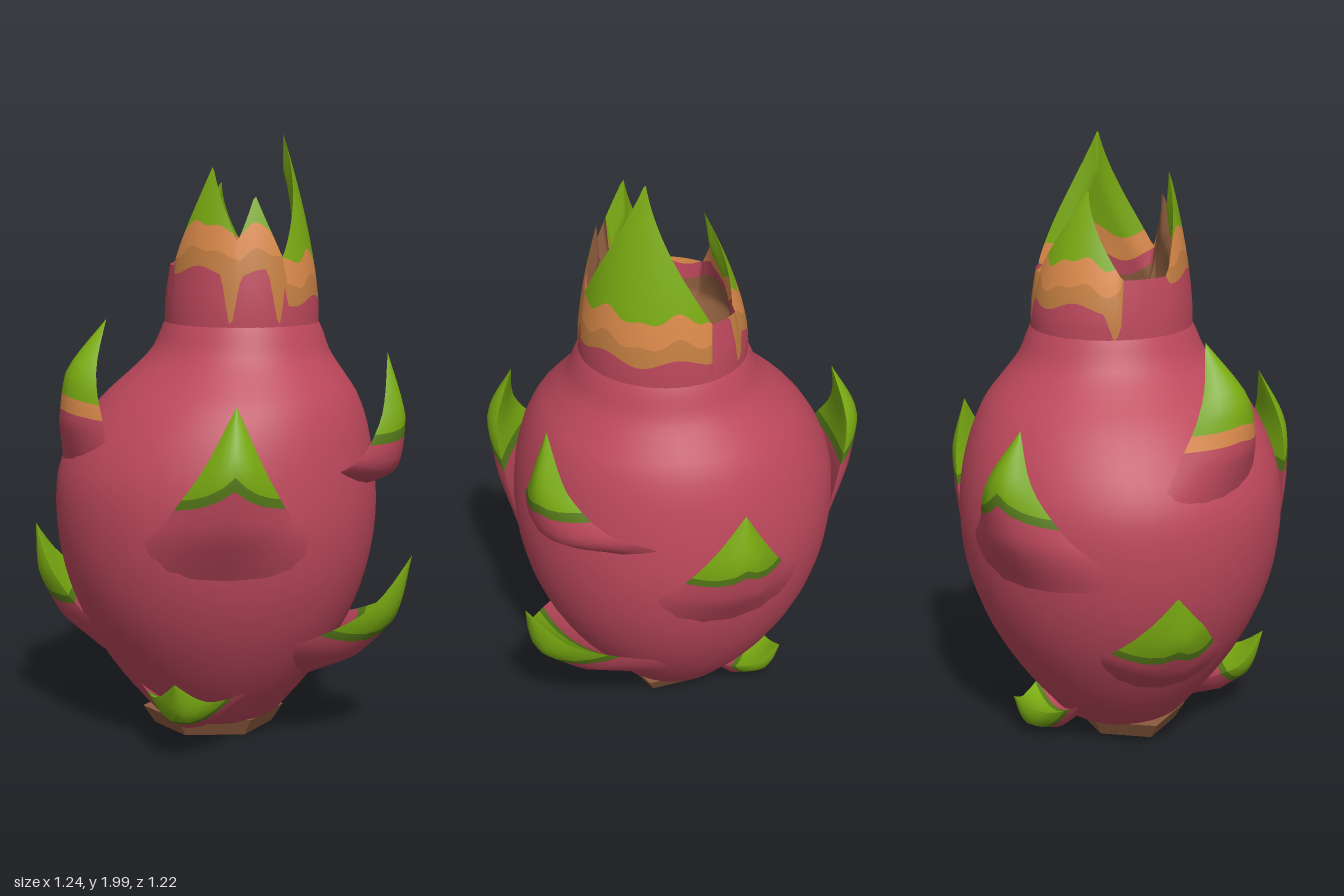
import * as THREE from 'three';
import { toCreasedNormals } from 'three/addons/utils/BufferGeometryUtils.js';

const mat = (name, color) => {
  const m = new THREE.MeshStandardMaterial({ color, side: THREE.DoubleSide });
  m.name = name;
  return m;
};
const TAU = Math.PI * 2;

// Closed sheet swept from stacked rings. Each band is [material, from(u), to(u), steps].
// With dir = -1 the faces look inward.
function sheet(name, point, segments, bands, { crease = 0, dir = 1 } = {}) {
  const pos = [], index = [], mats = [], geo = new THREE.BufferGeometry();
  let row = 0;
  const addRow = (sAt) => {
    for (let i = 0; i < segments; i++) {
      const u = (dir * i / segments) * TAU;
      pos.push(...point(u, sAt(u)).toArray());
    }
  };
  addRow(bands[0][1]);
  for (const [material, from, to, steps] of bands) {
    const start = index.length;
    for (let k = 1; k <= steps; k++, row++) {
      addRow((u) => THREE.MathUtils.lerp(from(u), to(u), k / steps));
      for (let i = 0; i < segments; i++) {
        const a = row * segments + i, b = row * segments + (i + 1) % segments;
        const c = b + segments, d = a + segments;
        index.push(a, b, c, a, c, d);
      }
    }
    geo.addGroup(start, index.length - start, mats.length);
    mats.push(material);
  }
  geo.setAttribute('position', new THREE.Float32BufferAttribute(pos, 3));
  geo.setIndex(index);
  geo.computeVertexNormals();
  const mesh = new THREE.Mesh(crease ? toCreasedNormals(geo, crease) : geo, mats);
  mesh.name = name;
  return mesh;
}

// Crown petals: centre angle, half width in radians, tip height, inward lean, colour start
const PETALS = [
  { at: 1.47, w: 1.0, tip: 2.0, lean: 0.28, orange: 1.46 },
  { at: 0.16, w: 0.42, tip: 1.8, lean: 0.28, orange: 1.55 },
  { at: -0.6, w: 0.62, tip: 1.89, lean: 0.24, orange: 1.56 },
  { at: -2.6, w: 0.75, tip: 1.84, lean: 0.5, orange: 1.48 },
];
const STREAKS = [0.42, -0.2, 2.9, -1.95];
const gap = (a, b) => Math.abs(Math.atan2(Math.sin(a - b), Math.cos(a - b)));

// Rim height, lean and colour limits at an angle round the crown
function crownAt(u) {
  let h = 1.57, lean = 0.33, blend = 1.6;
  for (const p of PETALS) {
    const d = gap(u, p.at) / p.w;
    if (d >= 1) continue;
    const y = 1.57 + (p.tip - 1.57) * Math.pow(1 - d, 0.95);
    if (y > h) {
      h = y;
      lean = p.lean;
      blend = p.orange + 0.015 * Math.sin(u * 7);
    }
  }
  // streaks running down beside the petals
  const dip = Math.max(...STREAKS.map((at) => 1 - gap(u, at) / 0.13), 0);
  return { h, lean, blend, low: THREE.MathUtils.lerp(blend, 1.37, dip) };
}

export function createModel() {
  const pink = mat('pink skin', 0xbd485c);
  const green = mat('green tip', 0x7aab12);
  const olive = mat('olive edge', 0x567a1a);
  const orange = mat('orange blend', 0xdb8a4a);
  const ochre = mat('ochre blend', 0xc47f42);
  const brown = mat('brown core', 0x8c5c3e);
  const model = new THREE.Group();
  model.name = 'spikyFruit';

  // Body: round, with the neck drifting to one side
  const profile = new THREE.CatmullRomCurve3([
    [0.01, 0.03], [0.19, 0.05], [0.27, 0.13], [0.37, 0.26], [0.46, 0.42], [0.515, 0.58],
    [0.538, 0.75], [0.528, 0.9], [0.485, 1.03], [0.422, 1.14], [0.352, 1.22], [0.296, 1.29],
    [0.262, 1.37], [0.235, 1.42],
  ].map(([r, y]) => new THREE.Vector3(r, y, 0)));
  const bodyPoint = (u, s) => {
    const { x: r, y } = profile.getPoint(s);
    const k = THREE.MathUtils.smoothstep(y, 0.85, 1.36);
    return new THREE.Vector3(
      r * Math.sin(u) + 0.085 * k, y, r * Math.cos(u) * (1 + 0.06 * k) - 0.03 + 0.01 * k);
  };
  model.add(sheet('body', bodyPoint, 48, [[pink, () => 0, () => 1, 40]]));

  // Crown: outer wall rising into petals, and an inner wall falling to a bowl
  const crownPoint = (inner) => (u, s) => {
    const { h, lean } = crownAt(u);
    const y = Math.min(s, h);
    let r = 0.255 - lean * Math.pow(Math.max(0, y - 1.42), 1.5);
    if (inner) r -= 0.035 * Math.min(1, (h - y) / 0.12);
    if (inner && y < 1.46) r *= Math.sqrt(Math.max(0.0004, (y - 1.33) / 0.13));
    return new THREE.Vector3(r * Math.sin(u) + 0.085, y, r * Math.cos(u) * 1.06 - 0.02);
  };
  const low = (u) => crownAt(u).low;
  const above = (d) => (u) => crownAt(u).blend + d + 0.01 * Math.sin(u * 13);
  const top = () => 2.0;
  model.add(sheet('crownOuter', crownPoint(false), 144, [
    [pink, () => 1.33, low, 5],
    [ochre, low, above(0.06), 4],
    [orange, above(0.06), above(0.14), 3],
    [green, above(0.14), top, 12],
  ]));
  // a front petal stays brown inside; the rest repeat the outer colours in patches
  const core = (u) => (gap(u, 0.05) < 0.4 ? 2.0 : 1.53 + 0.03 * Math.sin(u * 5));
  const inner = (d) => (u) => Math.min(2, core(u) + d);
  model.add(sheet('crownInner', crownPoint(true), 144, [
    [brown, () => 1.33, core, 16],
    [pink, core, inner(0.05), 1],
    [orange, inner(0.05), inner(0.13), 2],
    [green, inner(0.13), top, 10],
  ], { dir: -1 }));

  // Scales: four spine points from root to tip and half widths, then options:
  // colour start, arch of the colour edge, and share of orange in place of olive
  const scale = (name, spine, widths, { start = 0.4, arch = 0.18, blend = 0 } = {}) => {
    const pts = spine.map((p) => new THREE.Vector3(...p));
    const curve = new THREE.CatmullRomCurve3(pts);
    const phi = Math.atan2(pts[1].x, pts[1].z + 0.03);
    const across = new THREE.Vector3(Math.cos(phi), 0, -Math.sin(phi));
    const wrap = 0.5 / Math.hypot(pts[0].x, pts[0].z + 0.03);
    const thick = [0.015, 0.06, 0.052, 0];
    const mix = (list, s) => {
      const i = Math.min(2, Math.floor(s * 3));
      return THREE.MathUtils.lerp(list[i], list[i + 1], s * 3 - i);
    };
    // lens section whose sides wrap round the body
    const point = (u, s) => {
      const w = mix(widths, s), t = mix(thick, s);
      const out = across.clone().cross(curve.getTangent(s)).normalize();
      const c = Math.cos(u), n = Math.sin(u);
      const side = w * c;
      const lift = t * n * Math.abs(n) * (n < 0 ? 0.3 : 1) - wrap * side * side - 0.04 * w * c * c;
      return curve.getPoint(s).addScaledVector(across, -side).addScaledVector(out, lift);
    };
    // colour edge peaks along the middle of the outer face
    const edge = (d) => (u) => start + d + (Math.sin(u) > 0 ? arch * (1 - Math.abs(Math.cos(u))) : 0);
    const share = blend || 0.07;
    model.add(sheet(name, point, 20, [
      [pink, () => 0, edge(0), 8],
      [blend ? orange : olive, edge(0), edge(share), 2],
      [green, edge(share), () => 1, 7],
    ], { crease: 0.9 }));
  };
  scale('frontScale', [[0.02, 0.63, 0.485], [0.02, 0.81, 0.535], [0.03, 0.98, 0.565], [0.04, 1.17, 0.52]],
    [0.33, 0.19, 0.095, 0]);
  scale('leftUpperScale', [[0.49, 0.87, 0.12], [0.53, 0.95, 0.18], [0.55, 1.1, 0.21], [0.54, 1.3, 0.21]],
    [0.25, 0.18, 0.075, 0], { start: 0.48, arch: 0.06 });
  scale('leftLowerScale', [[0.31, 0.22, 0.09], [0.42, 0.34, 0.18], [0.535, 0.47, 0.24], [0.62, 0.65, 0.28]],
    [0.3, 0.2, 0.1, 0], { start: 0.38 });
  scale('rightUpperScale', [[-0.48, 0.92, 0.08], [-0.455, 1.07, 0.12], [-0.44, 1.22, 0.13], [-0.36, 1.4, 0.09]],
    [0.22, 0.17, 0.11, 0], { start: 0.38, arch: 0.05, blend: 0.11 });
  scale('rightLowerScale', [[-0.37, 0.28, -0.06], [-0.48, 0.41, -0.1], [-0.56, 0.54, -0.11], [-0.615, 0.68, -0.13]],
    [0.27, 0.18, 0.1, 0], { start: 0.36 });
  scale('backRightScale', [[-0.27, 0.66, -0.475], [-0.28, 0.84, -0.52], [-0.28, 1.0, -0.545], [-0.28, 1.17, -0.5]],
    [0.32, 0.17, 0.09, 0]);
  scale('backLeftScale', [[0.4, 0.6, -0.34], [0.45, 0.77, -0.37], [0.48, 0.91, -0.39], [0.48, 1.07, -0.4]],
    [0.32, 0.18, 0.1, 0]);
  scale('frontBottomScale', [[-0.08, 0.1, 0.19], [-0.1, 0.14, 0.28], [-0.13, 0.185, 0.37], [-0.15, 0.28, 0.45]],
    [0.24, 0.16, 0.09, 0]);
  scale('backBottomScale', [[0, 0.08, -0.2], [0, 0.07, -0.28], [0, 0.085, -0.36], [0, 0.15, -0.43]],
    [0.18, 0.14, 0.09, 0], { start: 0.36 });

  // Stem: short faceted flare under the body
  const stem = new THREE.Mesh(toCreasedNormals(new THREE.CylinderGeometry(0.24, 0.2, 0.06, 6), 0.3), brown);
  stem.name = 'stem';
  stem.rotation.y = Math.PI / 6;
  stem.position.set(-0.01, 0.03, -0.02);
  const stemGroup = new THREE.Group();
  stemGroup.name = 'stemBase';
  stemGroup.scale.z = 0.82;
  stemGroup.add(stem);
  model.add(stemGroup);
  return model;
}
